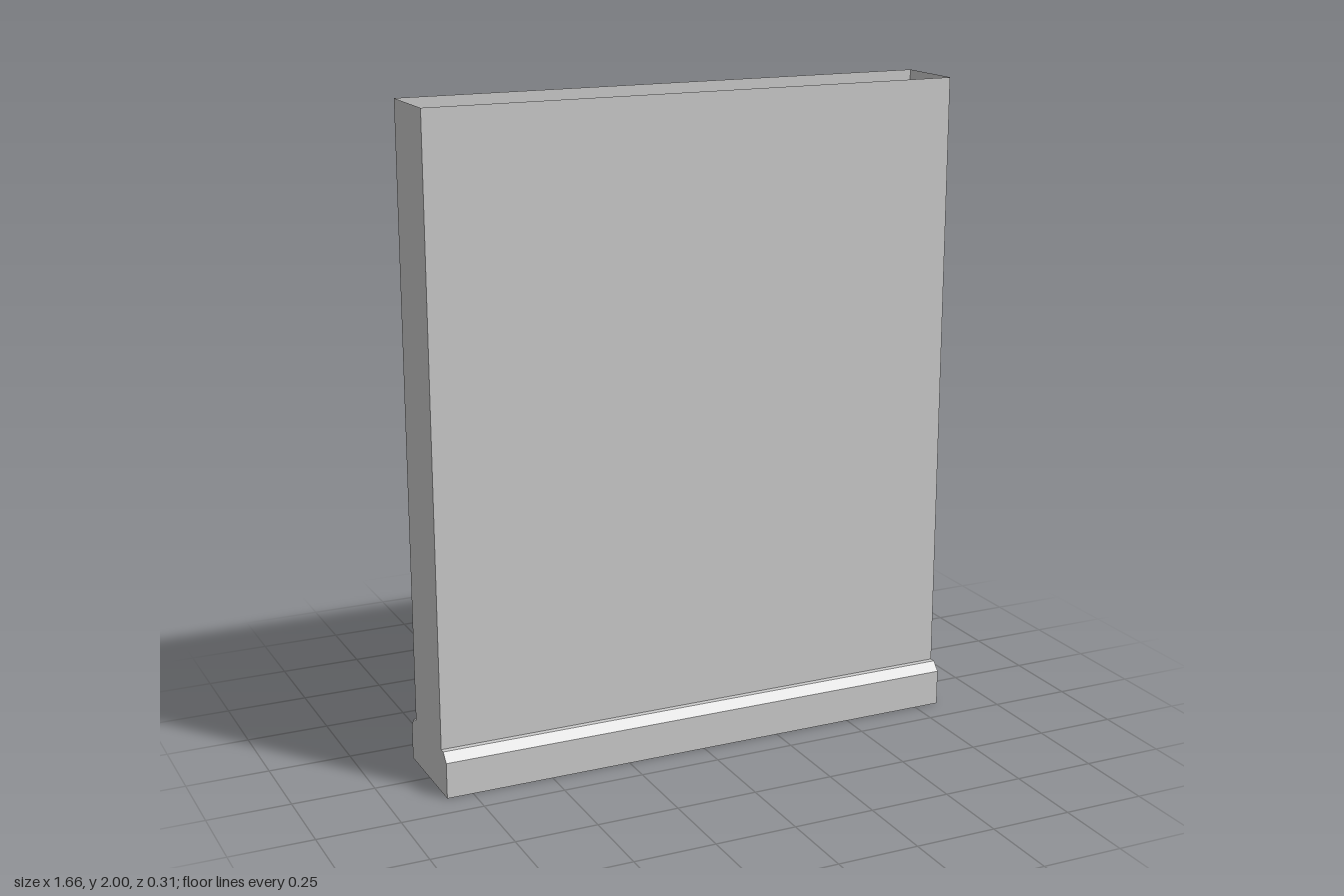
import * as THREE from 'three';

const HALF_WIDTH = 0.83;
// Half cross-section as [z, y], from the floor up: plinth, chamfer, ledge, wall
const PROFILE = [[0.157, 0], [0.157, 0.11], [0.133, 0.137], [0.115, 0.137], [0.115, 2]];

export function createModel() {
  const group = new THREE.Group();
  const material = new THREE.MeshStandardMaterial({
    color: 0xcccccc, flatShading: true, side: THREE.DoubleSide,
  });

  const add = (name, geometry, turn) => {
    const mesh = new THREE.Mesh(geometry, material);
    mesh.name = name;
    mesh.rotation.y = turn;
    group.add(mesh);
  };

  // One flat strip across the full width, between two profile points
  const strip = ([z0, y0], [z1, y1]) => {
    const geometry = new THREE.PlaneGeometry(2 * HALF_WIDTH, 1);
    const pos = geometry.attributes.position;
    for (let i = 0; i < pos.count; i++) {
      const top = pos.getY(i) > 0;
      pos.setY(i, top ? y1 : y0);
      pos.setZ(i, top ? z1 : z0);
    }
    geometry.computeVertexNormals();
    return geometry;
  };

  // Front and back faces: the shell stays open at the top and the bottom
  const parts = ['Plinth', 'Chamfer', 'Ledge', 'Wall'];
  ['front', 'back'].forEach((sideName, s) => {
    parts.forEach((part, i) => add(sideName + part, strip(PROFILE[i], PROFILE[i + 1]), s * Math.PI));
  });

  // End panels: the whole mirrored cross-section
  const outline = [...PROFILE, ...PROFILE.map(([z, y]) => [-z, y]).reverse()];
  const shape = new THREE.Shape(outline.map(([z, y]) => new THREE.Vector2(z, y)));
  [['left', 1], ['right', -1]].forEach(([sideName, sign]) => {
    const geometry = new THREE.ShapeGeometry(shape);
    geometry.translate(0, 0, HALF_WIDTH);
    add(sideName + 'EndPanel', geometry, sign * Math.PI / 2);
  });

  return group;
}
